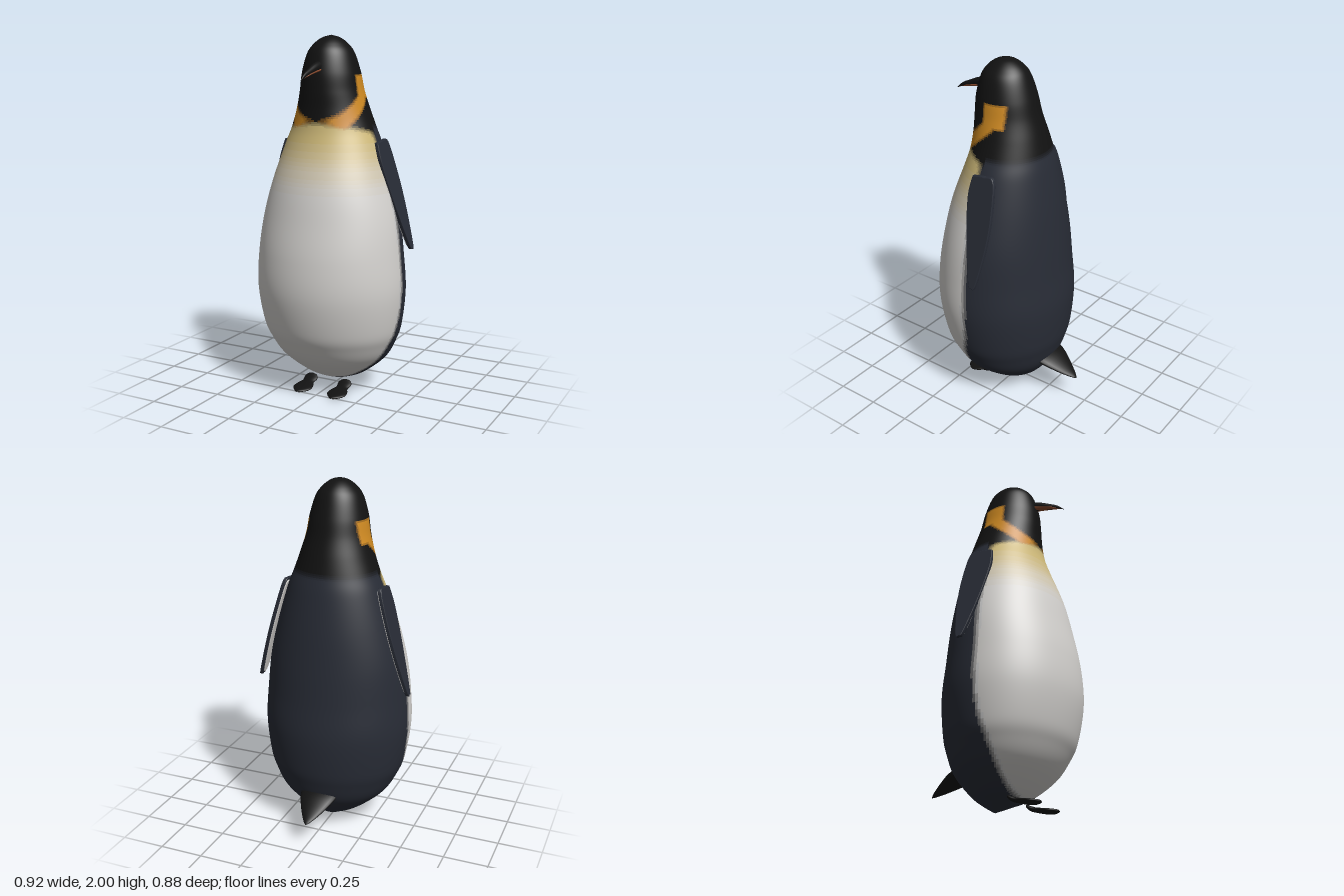
import * as THREE from 'three';

const NAVY = 0x282c36, BLACK = 0x121212, WHITE = 0xd4d2cf, CREAM = 0xcdb878, ORANGE = 0xcf8a22, BROWN = 0x8a4a2c;

function addMesh(parent, name, geometry, color) {
  const mesh = new THREE.Mesh(geometry, new THREE.MeshStandardMaterial({ color }));
  mesh.name = name;
  parent.add(mesh);
  return mesh;
}

// Skin over elliptical rings [x, y, z, halfWidth, halfDepth], smoothed along the length.
// Flat rings stack up +y; upright rings run towards -z.
function loft(rings, rows, cols, upright) {
  const centres = new THREE.CatmullRomCurve3(rings.map(r => new THREE.Vector3(r[0], r[1], r[2])), false, 'catmullrom', 0.5);
  const radii = new THREE.CatmullRomCurve3(rings.map(r => new THREE.Vector3(r[3], r[4], 0)), false, 'catmullrom', 0.5);
  const pos = [], index = [];
  for (let i = 0; i <= rows; i++) {
    const c = centres.getPoint(i / rows), r = radii.getPoint(i / rows);
    for (let j = 0; j < cols; j++) {
      const a = j / cols * Math.PI * 2, u = Math.cos(a) * r.x, v = Math.sin(a) * r.y;
      pos.push(c.x + u, c.y + (upright ? v : 0), c.z + (upright ? 0 : v));
      if (i === rows) continue;
      const k = i * cols + j, n = i * cols + (j + 1) % cols;
      index.push(k, k + cols, n, n, k + cols, n + cols);
    }
  }
  const g = new THREE.BufferGeometry();
  g.setAttribute('position', new THREE.Float32BufferAttribute(pos, 3));
  g.setIndex(index);
  g.computeVertexNormals();
  return g;
}

// Smooth blend from 0 to 1, rounded to a few tones
function step(x, a, b, tones = 5) {
  return Math.round(THREE.MathUtils.smoothstep(x, a, b) * tones) / tones;
}

// Plumage region and colour at a point of the body
function plumage(y, z) {
  const edge = 0.055 + 0.05 * (1 - THREE.MathUtils.smoothstep(y, 0.2, 0.55));
  const front = step(z, edge - 0.03, edge + 0.03);
  const bib = step(y, 1.1, 1.48, 10);
  const neck = z > 0.03 ? 1.47 + 0.27 * (z - 0.03) : 1.5;
  const head = step(y, neck - 0.02, neck + 0.025);
  // Ear patch with a stripe running down to the throat
  const box = Math.max(Math.abs(z - 0.025) - 0.06, Math.abs(y - 1.725) - 0.06);
  const t = THREE.MathUtils.clamp(((z - 0.05) * 0.15 - (y - 1.67) * 0.13) / (0.15 ** 2 + 0.13 ** 2), 0, 1);
  const stripe = Math.hypot(z - 0.05 - 0.15 * t, y - 1.67 + 0.13 * t) - 0.03;
  const ear = 1 - step(Math.min(box, stripe), -0.012, 0.015);

  const belly = new THREE.Color(WHITE).lerp(new THREE.Color(CREAM), bib);
  const color = new THREE.Color(NAVY).lerp(belly, front)
    .lerp(new THREE.Color(BLACK), head).lerp(new THREE.Color(ORANGE), ear);
  const name = ear > 0.5 ? 'earPatch' : head > 0.5 ? 'head' : front < 0.5 ? 'back' : bib > 0.3 ? 'bib' : 'belly';
  return { name, color };
}

// Body and head in one skin, divided into coloured plumage regions
function createBody() {
  // y, half width, front z, back z
  const profile = [
    [0.01, 0.002, -0.048, -0.052], [0.05, 0.09, 0.06, -0.115], [0.1, 0.19, 0.165, -0.175], [0.2, 0.31, 0.285, -0.25],
    [0.3, 0.37, 0.355, -0.285], [0.4, 0.405, 0.4, -0.305], [0.6, 0.43, 0.437, -0.315], [0.8, 0.42, 0.43, -0.295],
    [1.0, 0.395, 0.395, -0.275], [1.2, 0.345, 0.35, -0.25], [1.4, 0.28, 0.278, -0.215], [1.5, 0.24, 0.247, -0.19],
    [1.6, 0.205, 0.235, -0.163], [1.7, 0.177, 0.233, -0.132], [1.8, 0.16, 0.226, -0.107], [1.9, 0.13, 0.2, -0.072],
    [1.95, 0.095, 0.167, -0.04], [1.985, 0.05, 0.118, 0.008], [2.0, 0.001, 0.063, 0.061],
  ];
  const skin = loft(profile.map(([y, w, f, b]) => [0, y, (f + b) / 2, w, (f - b) / 2]), 180, 144, false);
  const p = skin.attributes.position, idx = skin.index.array, regions = new Map();
  for (let i = 0; i < idx.length; i += 6) {
    const a = idx[i], b = idx[i + 5];
    const { name, color } = plumage((p.getY(a) + p.getY(b)) / 2, (p.getZ(a) + p.getZ(b)) / 2);
    const key = name + color.getHexString();
    if (!regions.has(key)) regions.set(key, { name, color, faces: [] });
    regions.get(key).faces.push(...idx.slice(i, i + 6));
  }
  const body = new THREE.Group();
  body.name = 'body';
  for (const { name, color, faces } of regions.values()) {
    const g = new THREE.BufferGeometry();
    g.setAttribute('position', p);
    g.setAttribute('normal', skin.attributes.normal);
    g.setIndex(faces);
    addMesh(body, name, g.toNonIndexed(), color);
  }
  return body;
}

// Thin flipper blade, slanting outwards from the shoulder
function flipperLayer(inset, depth, offset) {
  const outline = [[-0.075, 1.425], [-0.085, 1.31], [-0.053, 1.1], [0.005, 0.87], [0.03, 0.842], [0.052, 0.86],
    [0.08, 1.05], [0.085, 1.23], [0.062, 1.42], [0.0, 1.435]];
  const pts = outline.map(([a, y]) => new THREE.Vector2(a * inset, 1.14 + (y - 1.14) * inset));
  const shape = new THREE.Shape().moveTo(pts[0].x, pts[0].y);
  shape.splineThru([...pts.slice(1), pts[0]]);
  const g = new THREE.ExtrudeGeometry(shape, {
    depth, curveSegments: 40, bevelEnabled: true, bevelThickness: 0.004, bevelSize: 0.004, bevelOffset: -0.004, bevelSegments: 2,
  });
  g.rotateY(Math.PI / 2);
  const p = g.attributes.position;
  for (let i = 0; i < p.count; i++) p.setX(i, p.getX(i) + offset + (1.43 - p.getY(i)) * 0.288);
  g.computeVertexNormals();
  return g;
}

function createFlipper(name) {
  const flipper = new THREE.Group();
  flipper.name = name;
  addMesh(flipper, 'flipperBlade', flipperLayer(1, 0.014, 0.272), NAVY);
  addMesh(flipper, 'flipperLining', flipperLayer(0.95, 0.004, 0.266), WHITE);
  return flipper;
}

export function createModel() {
  const model = new THREE.Group();
  model.name = 'penguin';
  model.add(createBody());

  // Flippers
  const left = createFlipper('leftFlipper'), right = createFlipper('rightFlipper');
  right.scale.x = -1;
  model.add(left, right);

  // Beak, curving down to a point, with a brown lower plate
  addMesh(model, 'beak', loft([
    [0, 1.763, 0.398, 0.001, 0.001], [0, 1.788, 0.36, 0.008, 0.011], [0, 1.806, 0.31, 0.015, 0.018],
    [0, 1.826, 0.25, 0.022, 0.025], [0, 1.838, 0.18, 0.026, 0.03],
  ], 16, 20, true), BLACK);
  addMesh(model, 'beakPlate', loft([
    [0, 1.774, 0.37, 0.001, 0.001], [0, 1.79, 0.33, 0.0135, 0.006], [0, 1.804, 0.28, 0.0195, 0.009],
    [0, 1.816, 0.22, 0.025, 0.01],
  ], 12, 20, true), BROWN);

  // Tail
  addMesh(model, 'tail', loft([
    [0, 0.25, -0.2, 0.12, 0.03], [0, 0.222, -0.28, 0.1, 0.03], [0, 0.192, -0.34, 0.072, 0.023],
    [0, 0.165, -0.39, 0.042, 0.014], [0, 0.147, -0.425, 0.017, 0.007], [0, 0.138, -0.438, 0.001, 0.001],
  ], 20, 24, true), BLACK);

  // Feet, narrow behind the toes
  for (const side of [1, -1]) {
    const x = 0.11 * side;
    addMesh(model, side > 0 ? 'leftFoot' : 'rightFoot', loft([
      [x, 0.01, 0.272, 0.002, 0.002], [x, 0.011, 0.26, 0.024, 0.008], [x, 0.014, 0.22, 0.055, 0.012],
      [x, 0.02, 0.18, 0.052, 0.013], [x, 0.028, 0.145, 0.036, 0.013], [x, 0.04, 0.11, 0.042, 0.014],
      [x, 0.051, 0.092, 0.03, 0.012], [x, 0.055, 0.086, 0.002, 0.002],
    ], 28, 24, true), BLACK);
  }
  return model;
}
